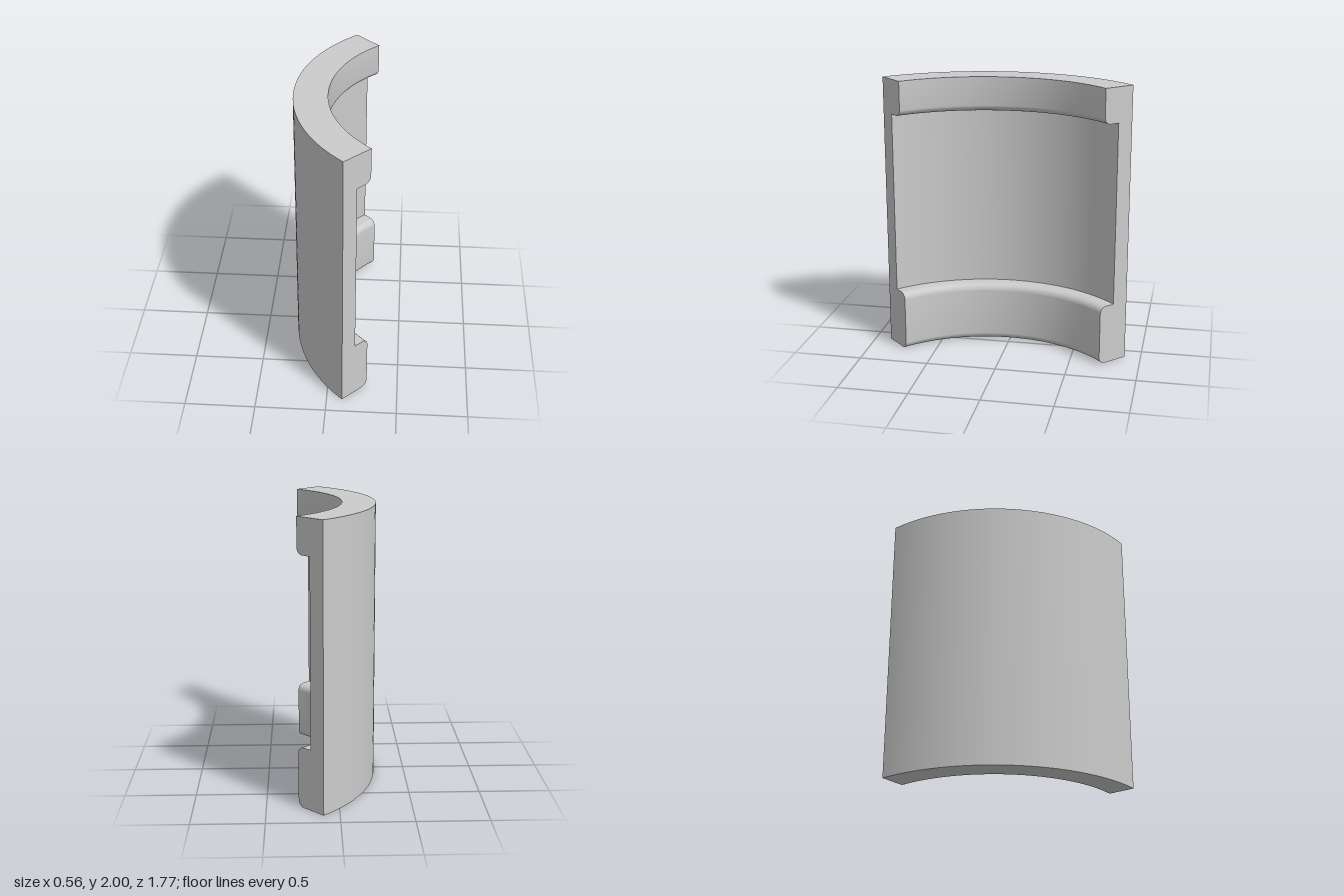
import * as THREE from 'three';
import { toCreasedNormals } from 'three/addons/utils/BufferGeometryUtils.js';

const OUTER = 1.2, INNER = 0.963, RECESS = 1.081; // radii
const AXIS_X = 0.9215;                            // axis of the curved shell
const CUT = 0.0523;                               // offset of the 45 degree end cuts from the axis
const STEPS = 48;

// Radial cross-section (radius, height), counter-clockwise, with rounded rib edges
function shellProfile() {
  const f = 0.05, s = new THREE.Shape();
  s.moveTo(OUTER, 0);
  s.lineTo(OUTER, 2);
  s.lineTo(INNER, 2);
  s.absarc(INNER + f, 1.75 + f, f, Math.PI, Math.PI * 1.5, false);
  s.lineTo(RECESS, 1.75);
  s.lineTo(RECESS, 0.436);
  s.absarc(INNER + f, 0.436 - f, f, Math.PI / 2, Math.PI, false);
  s.absarc(INNER + f, f, f, Math.PI, Math.PI * 1.5, false);
  return s.getPoints(5);
}

// Sweeps the cross-section about the vertical axis between two flat end cuts
function sweepShell(profile) {
  const n = profile.length, pos = [], index = [];
  for (let j = 0; j <= STEPS; j++) {
    for (const p of profile) {
      const half = Math.PI / 4 + Math.asin(CUT / p.x);
      const a = half * (2 * j / STEPS - 1);
      pos.push(AXIS_X - p.x * Math.cos(a), p.y, p.x * Math.sin(a));
    }
  }
  for (let j = 0; j < STEPS; j++) {
    for (let i = 0; i < n; i++) {
      const a = j * n + i, b = j * n + (i + 1) % n;
      index.push(a, a + n, b, b, a + n, b + n);
    }
  }
  // End faces
  const last = STEPS * n;
  for (const [a, b, c] of THREE.ShapeUtils.triangulateShape(profile, [])) {
    index.push(a, b, c, last + a, last + c, last + b);
  }
  const g = new THREE.BufferGeometry();
  g.setAttribute('position', new THREE.Float32BufferAttribute(pos, 3));
  g.setIndex(index);
  return toCreasedNormals(g, 0.6);
}

export function createModel() {
  const group = new THREE.Group();
  group.name = 'curvedBearingShell';
  const shell = new THREE.Mesh(
    sweepShell(shellProfile()),
    new THREE.MeshStandardMaterial({ color: 0xcccccc })
  );
  shell.name = 'ribbedShell';
  group.add(shell);
  return group;
}
